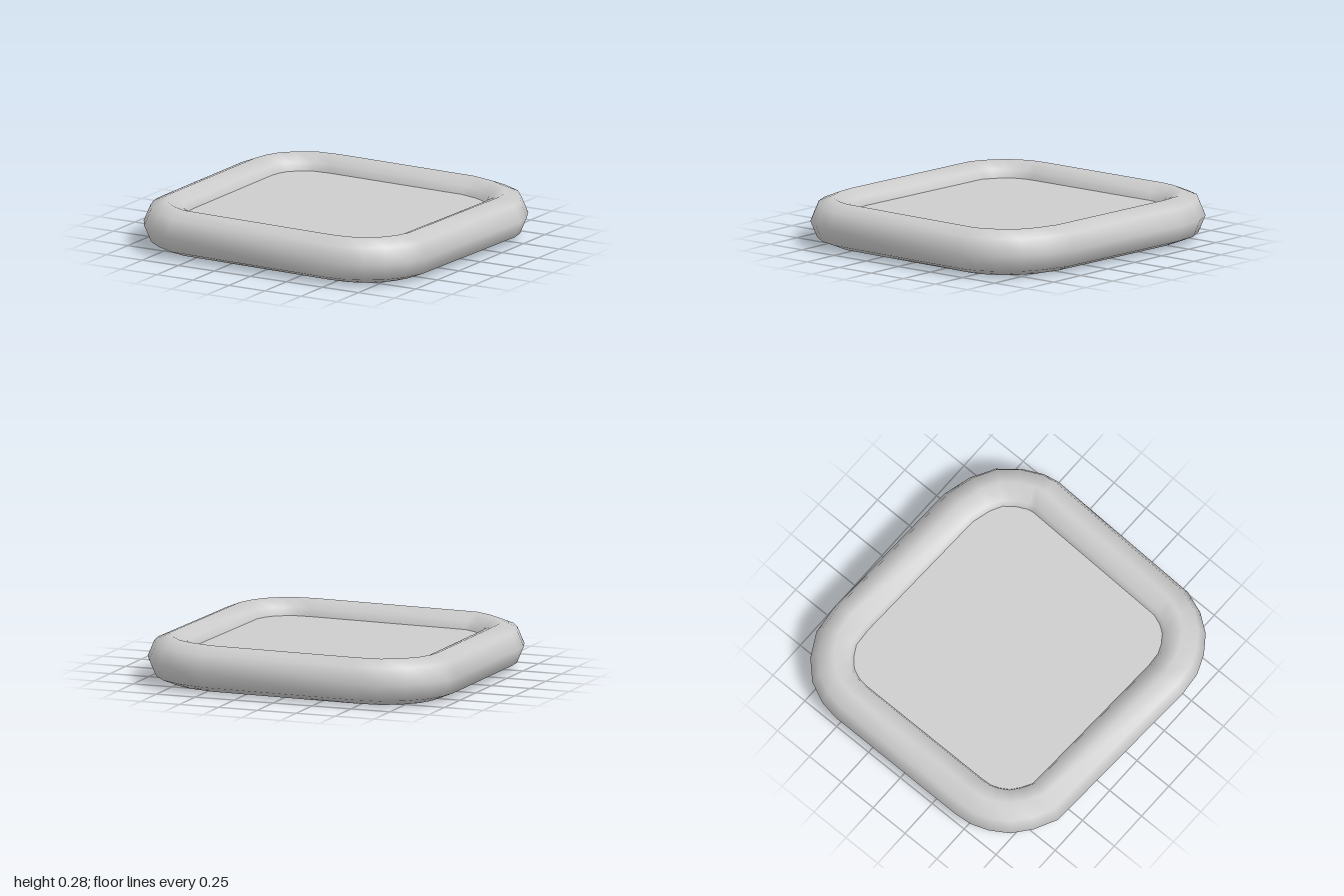
import * as THREE from 'three';

// Outer outline (x, z) of the slightly skewed rounded square, corner by corner
const OUTLINE = [
  [-1, -0.51], [-0.98, -0.63], [-0.92, -0.76], [-0.81, -0.87], [-0.66, -0.95], [-0.48, -0.97],
  [0.5, -0.94], [0.68, -0.89], [0.82, -0.81], [0.92, -0.69], [0.98, -0.57], [1, -0.47],
  [0.97, 0.57], [0.92, 0.71], [0.84, 0.82], [0.73, 0.9], [0.61, 0.95], [0.46, 0.965],
  [-0.63, 0.92], [-0.77, 0.85], [-0.88, 0.76], [-0.95, 0.65], [-0.99, 0.54], [-1, 0.43],
].map(([x, z]) => new THREE.Vector2(x, z));

const RADIUS = 0.14, SIDES = 8, COUNT = OUTLINE.length;

// Outward direction at each outline point, averaged from its two edges
const OUTWARD = OUTLINE.map((p, i) => {
  const a = OUTLINE[(i + COUNT - 1) % COUNT], b = OUTLINE[(i + 1) % COUNT];
  const d = p.clone().sub(a).normalize().add(b.clone().sub(p).normalize()).normalize();
  return new THREE.Vector2(d.y, -d.x);
});

const inset = (i, amount) => OUTLINE[i].clone().addScaledVector(OUTWARD[i], -amount);

// Eight-sided tube swept around the outline
function rimGeometry() {
  const positions = [], index = [];
  for (let i = 0; i < COUNT; i++) {
    for (let j = 0; j < SIDES; j++) {
      const a = (j / SIDES) * Math.PI * 2;
      const p = inset(i, RADIUS * (1 - Math.cos(a)));
      positions.push(p.x, RADIUS * (1 + Math.sin(a)), p.y);
      const k = (j + 1) % SIDES, n = (i + 1) % COUNT;
      const q = [i * SIDES + j, i * SIDES + k, n * SIDES + k, n * SIDES + j];
      index.push(q[0], q[1], q[2], q[0], q[2], q[3]);
    }
  }
  const g = new THREE.BufferGeometry();
  g.setAttribute('position', new THREE.Float32BufferAttribute(positions, 3));
  g.setIndex(index);
  g.computeVertexNormals();
  return g;
}

// Flat sheet closing the ring, set just above the middle of the tube
function panelGeometry() {
  const points = OUTLINE.map((_, i) => {
    const p = inset(i, 0.255);
    return new THREE.Vector2(p.x, -p.y);
  });
  return new THREE.ShapeGeometry(new THREE.Shape(points)).rotateX(-Math.PI / 2).translate(0, 0.19, 0);
}

export function createModel() {
  const group = new THREE.Group();
  const grey = new THREE.MeshStandardMaterial({ color: 0xcccccc, side: THREE.DoubleSide });
  grey.name = 'light grey';

  const rim = new THREE.Mesh(rimGeometry(), grey);
  rim.name = 'rim';
  const panel = new THREE.Mesh(panelGeometry(), grey);
  panel.name = 'panel';
  group.add(rim, panel);
  return group;
}
